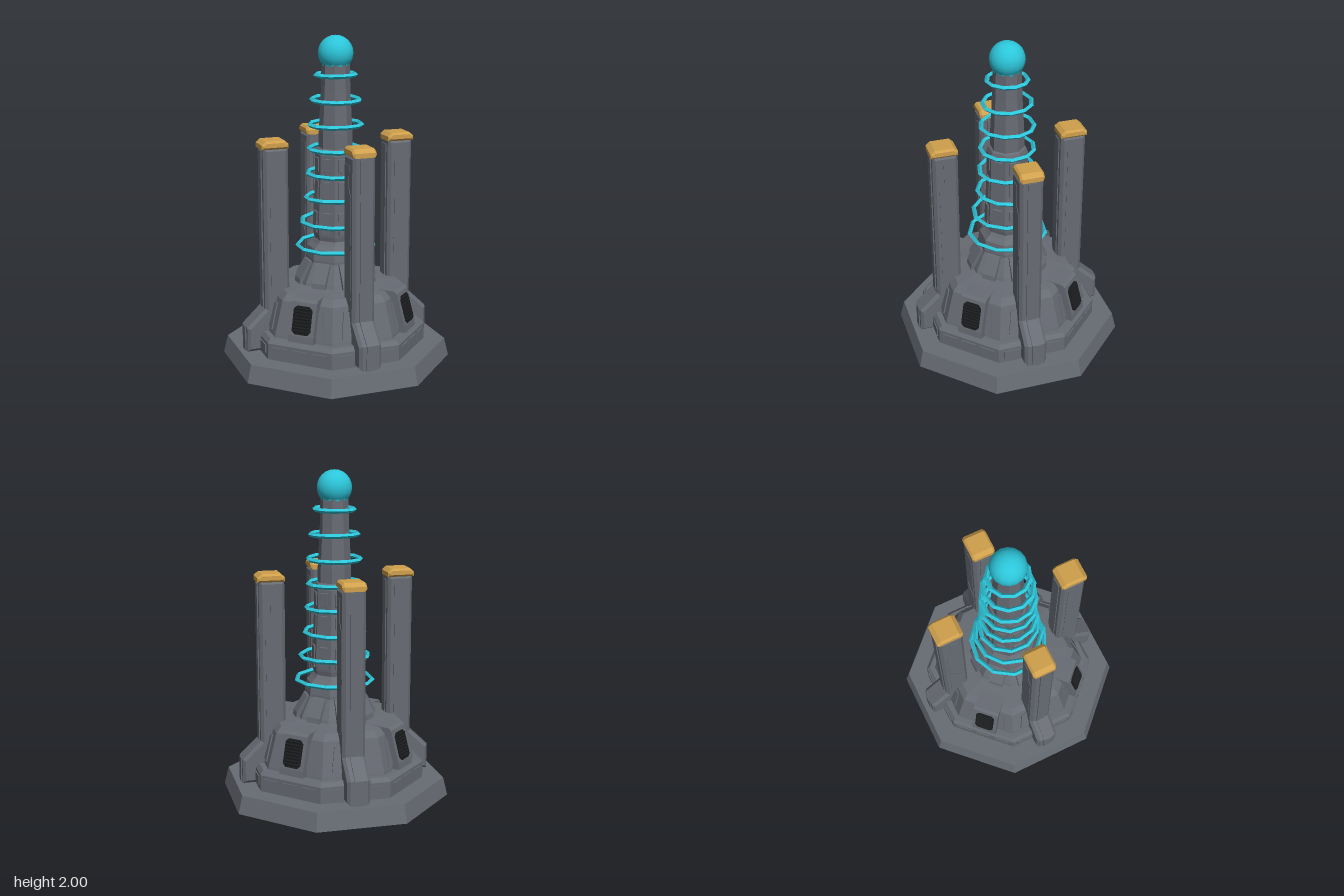
import * as THREE from 'three';

const mat = (name, color) => {
  const m = new THREE.MeshStandardMaterial({ color });
  m.name = name;
  return m;
};

export function createModel() {
  const grey = mat('gunmetal grey', 0x676b73);
  const gold = mat('brass gold', 0xcfa04c);
  const cyan = mat('energy cyan', 0x2cc6da);
  const black = mat('vent black', 0x1b1c1e);
  const root = new THREE.Group();
  root.name = 'energyTower';

  const flat = (g) => {
    const f = g.index ? g.toNonIndexed() : g;
    f.computeVertexNormals();
    return f;
  };
  const add = (parent, name, geo, material) => {
    const m = new THREE.Mesh(geo, material);
    m.name = name;
    parent.add(m);
    return m;
  };
  // Octagonal solid from [apothem, y] pairs, flats facing the axes
  const octagon = (name, pts) => {
    const k = 1 / Math.cos(Math.PI / 8);
    const v = pts.map(([a, y]) => new THREE.Vector2(a * k, y));
    return add(root, name, flat(new THREE.LatheGeometry(v, 8, Math.PI / 8)), grey);
  };
  // Side profile in [outward, y], extruded to a width, optionally chamfered
  const slab = (pts, width, bevel = 0) => {
    const shape = new THREE.Shape(pts.map(([r, y]) => new THREE.Vector2(r, y)));
    const depth = width - 2 * bevel;
    const g = new THREE.ExtrudeGeometry(shape, {
      depth, bevelEnabled: bevel > 0, bevelThickness: bevel,
      bevelSize: bevel, bevelOffset: -bevel, bevelSegments: 1,
    });
    g.translate(0, 0, -depth / 2);
    g.rotateY(-Math.PI / 2);
    return flat(g);
  };
  // Repeat a part around the vertical axis; local +z points outward
  const around = (name, count, start, build) => {
    for (let i = 0; i < count; i++) {
      const g = new THREE.Group();
      g.name = name;
      g.rotation.y = start + (i * 2 * Math.PI) / count;
      build(g);
      root.add(g);
    }
  };

  // Stepped base and main housing
  octagon('basePlinth', [[0, 0], [0.655, 0], [0.63, 0.11], [0, 0.11]]);
  octagon('lowerTier', [[0.51, 0.1], [0.51, 0.21], [0.49, 0.235], [0.44, 0.235]]);
  octagon('housing', [[0.46, 0.225], [0.455, 0.25], [0.4, 0.45], [0.365, 0.488], [0.2, 0.505]]);

  // Raised panels on the tier and housing faces
  around('facePanels', 8, 0, (g) => {
    for (const x of [-0.13, 0, 0.13]) {
      const p = add(g, 'tierPanel', new THREE.BoxGeometry(0.1, 0.055, 0.012), grey);
      p.position.set(x, 0.165, 0.511);
    }
    const s = new THREE.Shape([[-0.13, 0], [0.13, 0], [0.105, 0.16], [-0.105, 0.16]]
      .map(([x, y]) => new THREE.Vector2(x, y)));
    const plate = add(g, 'housingPanel', new THREE.ExtrudeGeometry(s, { depth: 0.008, bevelEnabled: false }), grey);
    plate.position.set(0, 0.265, 0.452);
    plate.rotation.x = -Math.atan2(0.055, 0.2);
  });

  // Diagonal vent boxes with grilles
  around('vent', 4, Math.PI / 4, (g) => {
    add(g, 'ventBox', slab([[0.28, 0.24], [0.5, 0.24], [0.495, 0.28], [0.442, 0.475], [0.425, 0.49], [0.28, 0.495]], 0.165), grey);
    const grille = new THREE.Group();
    grille.name = 'ventGrille';
    grille.position.set(0, 0.372, 0.472);
    grille.rotation.x = -Math.atan2(0.053, 0.195);
    const s = new THREE.Shape([[-0.06, -0.065], [-0.04, -0.085], [0.04, -0.085], [0.06, -0.065],
      [0.06, 0.065], [0.04, 0.085], [-0.04, 0.085], [-0.06, 0.065]].map(([x, y]) => new THREE.Vector2(x, y)));
    add(grille, 'grilleBack', new THREE.ExtrudeGeometry(s, { depth: 0.006, bevelEnabled: false }), black);
    for (let i = 0; i < 8; i++) {
      const slat = add(grille, 'grilleSlat', new THREE.BoxGeometry(0.1, 0.009, 0.012), black);
      slat.position.set(0, -0.066 + i * 0.019, 0.007);
      slat.rotation.x = 0.5;
    }
    g.add(grille);
  });

  // Central column, narrowing in steps
  octagon('columnFoot', [[0.235, 0.49], [0.225, 0.52], [0.17, 0.635], [0.17, 0.65], [0.16, 0.715],
    [0.135, 0.74], [0.115, 0.77]]);
  octagon('columnMiddle', [[0.115, 0.74], [0.125, 0.79], [0.13, 0.85], [0.115, 1.15], [0.115, 1.29],
    [0.105, 1.32], [0.092, 1.33]]);
  octagon('columnTop', [[0.095, 1.3], [0.094, 1.42], [0.082, 1.66], [0.078, 1.83], [0, 1.83]]);
  around('columnDetails', 8, 0, (g) => {
    add(g, 'footFin', slab([[0.15, 0.49], [0.255, 0.49], [0.248, 0.53], [0.185, 0.635], [0.15, 0.64]], 0.09), grey);
    add(g, 'lowerRib', slab([[0.1, 0.8], [0.138, 0.81], [0.134, 0.94], [0.1, 0.95]], 0.055), grey);
    add(g, 'middleRib', slab([[0.1, 0.99], [0.129, 1.0], [0.122, 1.13], [0.1, 1.14]], 0.05), grey);
    add(g, 'upperRib', slab([[0.09, 1.18], [0.122, 1.19], [0.122, 1.27], [0.09, 1.28]], 0.05), grey);
  });

  // Four outer pylons with stepped feet and brass caps
  around('pylon', 4, 0, (g) => {
    add(g, 'pylonBody', slab([[0.32, 0.11], [0.59, 0.11], [0.59, 0.26], [0.475, 0.37], [0.475, 1.357], [0.32, 1.357]], 0.14, 0.018), grey);
    add(g, 'outerStrip', slab([[0.45, 0.11], [0.597, 0.11], [0.597, 0.262], [0.482, 0.373], [0.482, 1.34], [0.45, 1.34]], 0.055), grey);
    add(g, 'innerStrip', slab([[0.314, 0.45], [0.34, 0.45], [0.34, 1.33], [0.314, 1.33]], 0.06), grey);
    add(g, 'sidePanelLower', slab([[0.36, 0.5], [0.44, 0.5], [0.44, 0.8], [0.405, 0.75], [0.36, 0.7]], 0.146), grey);
    add(g, 'sidePanelUpper', slab([[0.36, 0.73], [0.4, 0.78], [0.44, 0.83], [0.44, 1.12], [0.41, 1.16], [0.41, 1.3], [0.36, 1.3]], 0.146), grey);
    add(g, 'pylonCap', slab([[0.318, 1.35], [0.318, 1.378], [0.342, 1.4], [0.458, 1.4], [0.484, 1.378], [0.484, 1.35]], 0.146, 0.012), gold);
  });

  // Floating energy rings, slightly uneven
  const radii = [0.236, 0.21, 0.183, 0.172, 0.162, 0.16, 0.146, 0.121];
  radii.forEach((r, i) => {
    const geo = new THREE.TorusGeometry(r, 0.014, 4, 11);
    geo.rotateX(Math.PI / 2);
    const ring = add(root, 'energyRing', flat(geo), cyan);
    ring.position.y = 0.722 + i * 0.149;
    ring.rotation.set(0.015 * Math.sin(i * 2.3), i * 0.83, 0.015 * Math.cos(i * 1.7));
  });

  // Glowing orb at the top
  const orb = add(root, 'orb', new THREE.SphereGeometry(0.106, 16, 12), cyan);
  orb.position.y = 1.894;
  const collar = add(root, 'orbCollar', new THREE.CylinderGeometry(0.09, 0.08, 0.035, 12), cyan);
  collar.position.y = 1.835;

  return root;
}
